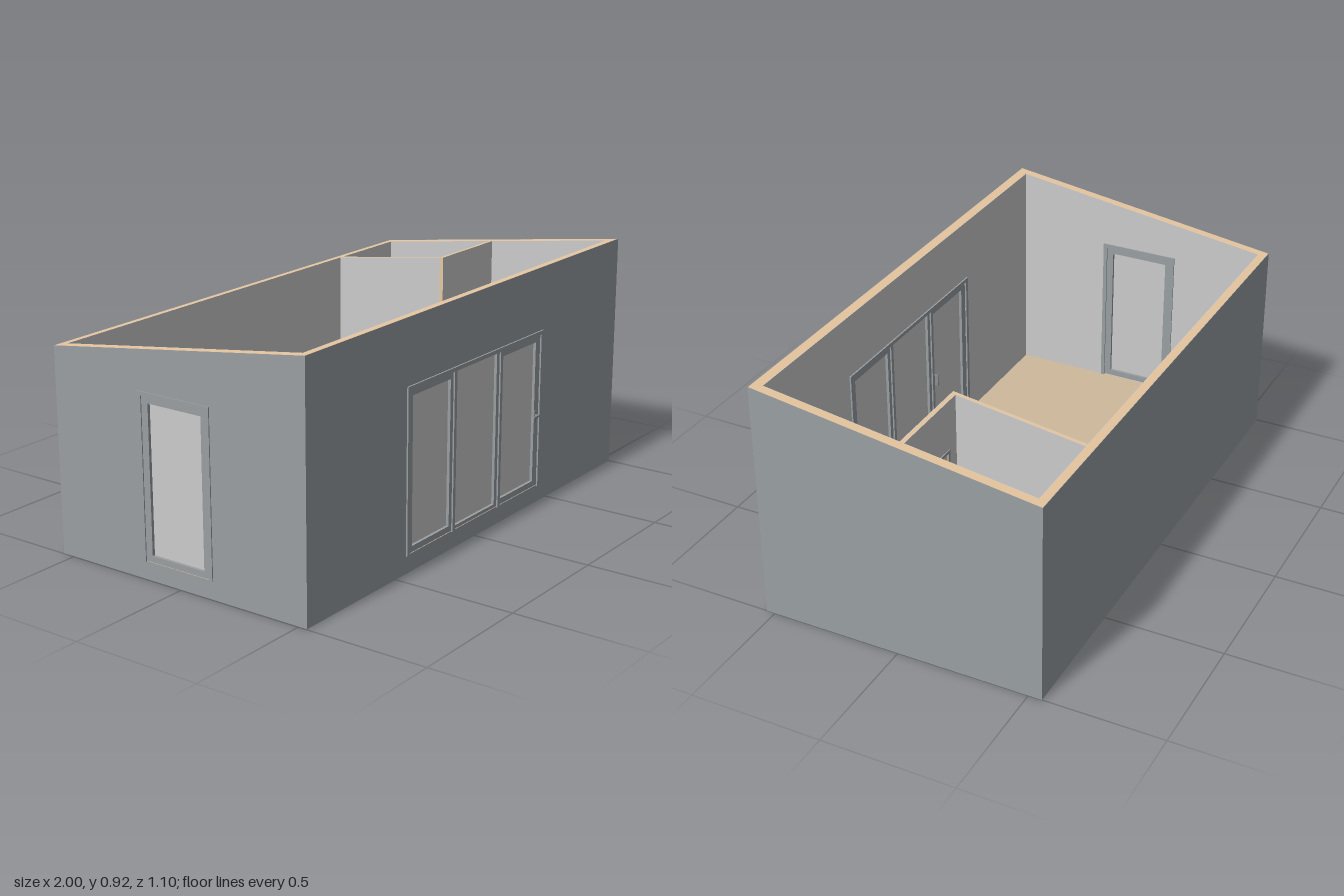
import * as THREE from 'three';

const SIDING = 0x9a9fa2, TIMBER = 0xe8c8a0, LINING = 0xcccccc, FLOOR = 0xcdb99c, CERAMIC = 0xc8ccd8, METAL = 0x8c9094;
const SKIN = 0.0015, FLOOR_Y = 0.065;
const roof = z => 0.8414 + 0.139 * z;

const material = color => new THREE.MeshStandardMaterial({ color });

function add(parent, name, geometry, color) {
  const mesh = new THREE.Mesh(geometry, material(color));
  mesh.name = name;
  parent.add(mesh);
  return mesh;
}

// Box given by its limits on each axis
function box(parent, name, [x0, x1], [y0, y1], [z0, z1], color) {
  const g = new THREE.BoxGeometry(x1 - x0, y1 - y0, z1 - z0);
  g.translate((x0 + x1) / 2, (y0 + y1) / 2, (z0 + z1) / 2);
  return add(parent, name, g, color);
}

// Upright slab [a0, a1, y0, y1] with rectangular holes, from depth d0 to d1.
// side = true turns it so that a runs along z and depth along -x.
function slab([a0, a1, y0, y1], holes, d0, d1, side = false) {
  const outline = (C, [l, r, b, t]) => {
    const s = new C();
    s.moveTo(l, b); s.lineTo(r, b); s.lineTo(r, t); s.lineTo(l, t); s.closePath();
    return s;
  };
  const shape = outline(THREE.Shape, [a0, a1, y0, y1]);
  shape.holes = holes.map(h => outline(THREE.Path, h));
  const g = new THREE.ExtrudeGeometry(shape, { depth: d1 - d0, bevelEnabled: false });
  g.translate(0, 0, d0);
  if (side) g.rotateY(-Math.PI / 2);
  return g;
}

// Wall layer whose top follows the sloping roof line
function wallLayer(parent, name, a0, a1, y0, holes, d0, d1, side, color) {
  const g = slab([a0, a1, y0, 1], holes, d0, d1, side);
  const p = g.attributes.position;
  for (let i = 0; i < p.count; i++) if (p.getY(i) > 0.75) p.setY(i, roof(p.getZ(i)));
  g.computeVertexNormals();
  add(parent, name, g, color);
}

// Lever handle; dir is the side of the door it stands out on
function lever(parent, x, y, z, dir, reach) {
  const h = new THREE.Group();
  h.name = 'leverHandle';
  h.position.set(x, y, z);
  h.scale.z = 1;
  const span = (a, b) => dir > 0 ? [a, b] : [-b, -a];
  box(h, 'handlePlate', [-0.006, 0.006], [-0.03, 0.015], span(0, 0.003), METAL);
  box(h, 'handlePost', [-0.003, 0.003], [-0.003, 0.003], span(0, reach), METAL);
  box(h, 'handleGrip', [-0.035, 0.003], [-0.003, 0.003], span(reach - 0.005, reach), METAL);
  parent.add(h);
}

// Casing strips around an opening, with optional uprights between
function casing(parent, [a0, a1, y0, y1], w, d0, d1, side, color, uprights = []) {
  add(parent, 'casingTop', slab([a0, a1, y1 - w, y1], [], d0, d1, side), color);
  for (const a of [a0, a1 - w, ...uprights.map(u => u - w / 2)])
    add(parent, 'casingUpright', slab([a, a + w, y0, y1 - w], [], d0, d1, side), color);
}

function buildWalls(root) {
  const walls = new THREE.Group();
  walls.name = 'walls';
  root.add(walls);
  const frontHole = [[-0.43, 0.43, 0.067, 0.668]], sideHole = [[-0.16, 0.13, 0.067, 0.668]];
  // Front and back: outer skin, timber core, inner lining
  for (const [name, out, inn, holes] of [['front', 0.533, 0.497, frontHole], ['back', -0.551, -0.519, []]]) {
    const s = Math.sign(out) * SKIN, layer = (part, a0, a1, u, v, c) =>
      wallLayer(walls, name + part, a0, a1, 0, holes, Math.min(u, v), Math.max(u, v), false, c);
    layer('Siding', -0.996, 1, out, out - s, SIDING);
    layer('Core', -0.996 + SKIN, 1 - SKIN, out - s, inn + s, TIMBER);
    layer('Lining', -0.96, 0.962, inn + s, inn, LINING);
  }
  // Left and right ends
  for (const [name, out, inn, holes] of [['right', 0.996, 0.96, sideHole], ['left', -1, -0.962, []]]) {
    const s = Math.sign(out) * SKIN, layer = (part, a0, a1, u, v, c) =>
      wallLayer(walls, name + part, a0, a1, 0, holes, Math.min(u, v), Math.max(u, v), true, c);
    layer('Siding', -0.551 + SKIN, 0.533 - SKIN, out, out - s, SIDING);
    layer('Core', -0.519 - SKIN, 0.497 + SKIN, out - s, inn + s, TIMBER);
    layer('Lining', -0.519, 0.497, inn + s, inn, LINING);
  }
  // Floor finish on a slab raised off the ground
  box(root, 'floorSlab', [-0.96, 0.962], [0.025, 0.058], [-0.519, 0.497], 0x868a8f);
  box(root, 'floorFinish', [-0.96, 0.962], [0.058, FLOOR_Y], [-0.519, 0.497], FLOOR);
}

function buildGlazedDoor(root) {
  const door = new THREE.Group();
  door.name = 'frontDoor';
  root.add(door);
  for (const [d0, d1] of [[0.533, 0.539], [0.491, 0.497]])
    casing(door, [-0.44, 0.44, 0.065, 0.675], 0.015, d0, d1, false, SIDING, [-0.15, 0.15]);
  // Three leaves, the middle one fixed with slimmer rails
  const openings = [[-0.4, -0.17, 0.09, 0.635], [-0.13, 0.13, 0.08, 0.655], [0.17, 0.4, 0.09, 0.635]];
  add(door, 'doorFrame', slab([-0.43, 0.43, 0.067, 0.668], openings, 0.5, 0.53), SIDING);
  for (const o of openings) add(door, 'glassPane', slab(o, [], 0.511, 0.519), LINING);
  lever(door, 0.405, 0.352, 0.53, 1, 0.021);
  lever(door, 0.405, 0.352, 0.5, -1, 0.025);
  box(door, 'innerLatch', [-0.168, -0.162], [0.33, 0.375], [0.48, 0.5], METAL);
}

function buildSideWindow(root) {
  const win = new THREE.Group();
  win.name = 'sideWindow';
  root.add(win);
  for (const [d0, d1] of [[0.996, 1], [0.955, 0.96]])
    casing(win, [-0.17, 0.14, 0.065, 0.675], 0.015, d0, d1, true, SIDING);
  const opening = [-0.13, 0.1, 0.09, 0.635];
  add(win, 'windowFrame', slab([-0.16, 0.13, 0.067, 0.668], [opening], 0.963, 0.993, true), SIDING);
  add(win, 'glassPane', slab(opening, [], 0.974, 0.982, true), LINING);
}

function buildWashroom(root) {
  const room = new THREE.Group();
  room.name = 'washroom';
  root.add(room);
  // Partition walls
  const hole = [[0.68, 0.91, 0.066, 0.64]];
  const wall = (name, a0, a1, holes, u, v, side) => {
    wallLayer(room, name + 'Core', a0, a1, FLOOR_Y, holes, u + SKIN, v - SKIN, side, TIMBER);
    wallLayer(room, name + 'Lining', a0, a1, FLOOR_Y, holes, u, u + SKIN, side, LINING);
    wallLayer(room, name + 'Lining', a0, a1, FLOOR_Y, holes, v - SKIN, v, side, LINING);
  };
  wall('sidePartition', -0.519, -0.036, [], -0.62, -0.604, true);
  wall('frontPartition', 0.604, 0.962, hole, -0.036, -0.019, false);
  // Door
  for (const [d0, d1] of [[-0.04, -0.036], [-0.019, -0.015]])
    casing(room, [0.67, 0.92, FLOOR_Y, 0.65], 0.012, d0, d1, false, SIDING);
  add(room, 'washroomDoor', slab(hole[0], [], -0.033, -0.022), TIMBER);
  lever(room, 0.885, 0.352, -0.022, 1, 0.024);
  lever(room, 0.885, 0.352, -0.033, -1, 0.02);

  // Toilet: rounded outline extruded upward for bowl, seat and lid
  const toilet = new THREE.Group();
  toilet.name = 'toilet';
  toilet.position.set(0.7925, FLOOR_Y, -0.519);
  room.add(toilet);
  const bowlPart = (name, w, back, length, y, h) => {
    const r = w / 2, s = new THREE.Shape();
    s.moveTo(-r, -back);
    s.lineTo(-r, r - length);
    s.absarc(0, r - length, r, Math.PI, 2 * Math.PI, false);
    s.lineTo(r, -back);
    s.closePath();
    const g = new THREE.ExtrudeGeometry(s, { depth: h, bevelEnabled: false, curveSegments: 20 });
    g.rotateX(-Math.PI / 2).translate(0, y, 0);
    add(toilet, name, g, CERAMIC);
  };
  bowlPart('toiletFoot', 0.07, 0, 0.15, 0, 0.06);
  bowlPart('toiletBowl', 0.096, 0, 0.178, 0.06, 0.055);
  bowlPart('toiletSeat', 0.105, 0.065, 0.185, 0.117, 0.008);
  bowlPart('toiletLid', 0.103, 0.065, 0.184, 0.126, 0.006);
  box(toilet, 'cistern', [-0.052, 0.052], [0.115, 0.222], [0, 0.05], CERAMIC);
  box(toilet, 'cisternLid', [-0.0535, 0.0535], [0.222, 0.23], [0, 0.053], CERAMIC);
  const hinge = new THREE.CylinderGeometry(0.004, 0.004, 0.1, 12);
  hinge.rotateZ(Math.PI / 2).translate(0, 0.127, 0.061);
  add(toilet, 'seatHinge', hinge, METAL);

  // Wall-hung basin with ledge and tap
  const basin = new THREE.Group();
  basin.name = 'washBasin';
  room.add(basin);
  box(basin, 'basinLedge', [0.62, 0.662], [0.23, 0.32], [-0.272, -0.105], CERAMIC);
  const rim = slab([0.662, 0.725, 0.12, 0.255], [[0.668, 0.715, 0.132, 0.243]], 0, 0.065);
  rim.rotateX(-Math.PI / 2).translate(0, 0.245, 0);
  add(basin, 'basinRim', rim, CERAMIC);
  box(basin, 'basinFloor', [0.662, 0.725], [0.235, 0.25], [-0.255, -0.12], CERAMIC);
  box(basin, 'tapPost', [0.65, 0.656], [0.32, 0.345], [-0.19, -0.184], METAL);
  box(basin, 'tapSpout', [0.65, 0.69], [0.34, 0.346], [-0.19, -0.184], METAL);
}

export function createModel() {
  const root = new THREE.Group();
  root.name = 'cabin';
  buildWalls(root);
  buildGlazedDoor(root);
  buildSideWindow(root);
  buildWashroom(root);
  return root;
}
